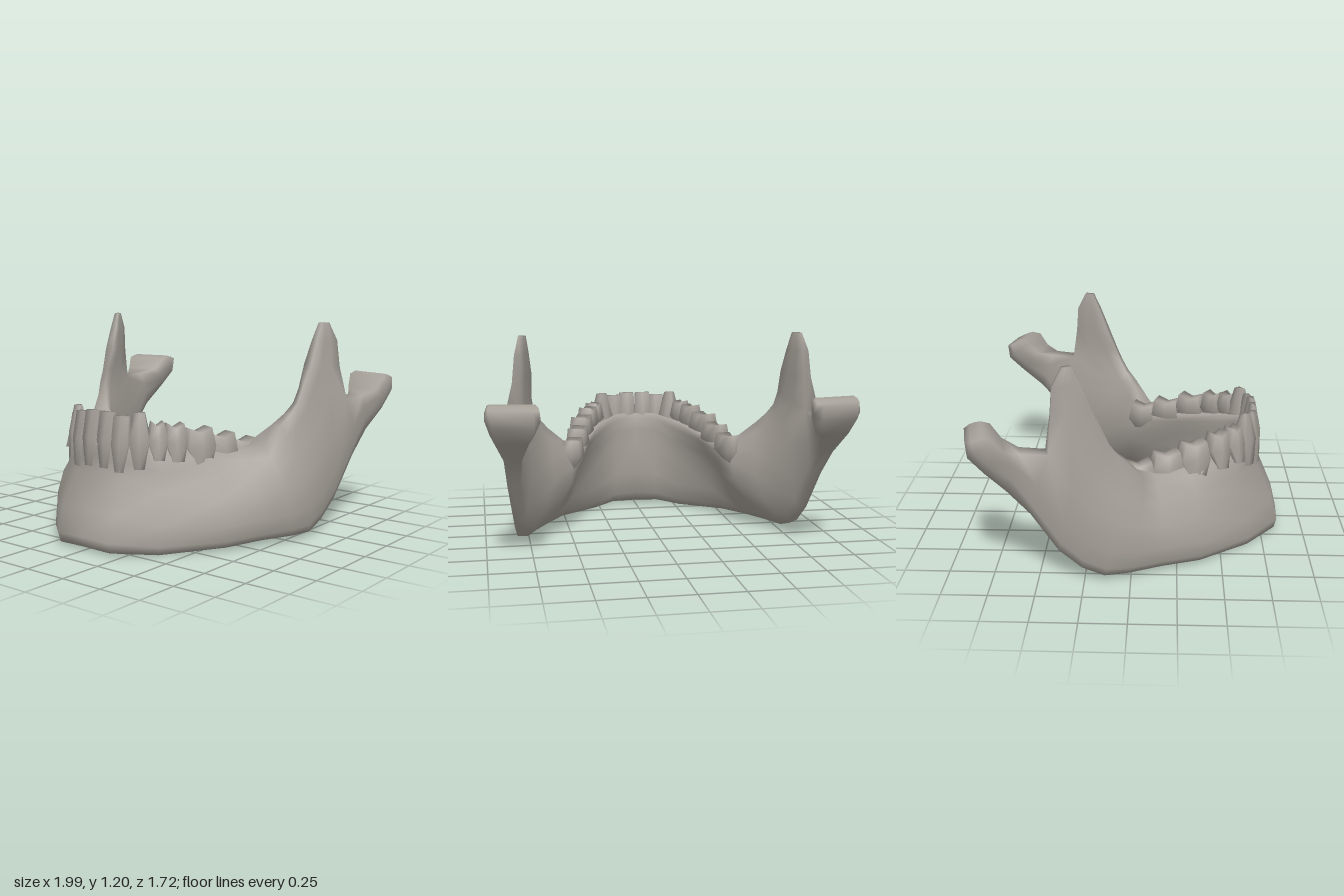
import * as THREE from 'three';
import { mergeVertices } from 'three/addons/utils/BufferGeometryUtils.js';

const rad = THREE.MathUtils.degToRad;
const ROWS = [0, 0.07, 0.24, 0.5, 0.72, 0.9, 1];
const FAT = [0.7, 1, 1.2, 1, 1, 0.95, 0.65];

// Body ribs from chin to ramus: bottom, middle, top, three thicknesses, outward angle
const RIBS = [
  [[0, 0.02, 0.75], [0, 0.42, 0.675], [0, 0.61, 0.685], [0.25, 0.12, 0.11], 0],
  [[0.165, 0.015, 0.75], [0.15, 0.4, 0.665], [0.13, 0.61, 0.67], [0.24, 0.12, 0.11], 12],
  [[0.33, 0, 0.615], [0.31, 0.32, 0.55], [0.275, 0.57, 0.55], [0.18, 0.14, 0.12], 45],
  [[0.565, 0.02, 0.35], [0.52, 0.28, 0.33], [0.39, 0.53, 0.29], [0.16, 0.2, 0.14], 60],
  [[0.66, 0.03, 0.15], [0.58, 0.28, 0.13], [0.46, 0.5, 0.1], [0.14, 0.26, 0.16], 68],
  [[0.75, 0.03, -0.03], [0.64, 0.3, 0], [0.57, 0.53, 0.04], [0.12, 0.3, 0.22], 72],
  [[0.79, 0.03, -0.15], [0.715, 0.34, -0.1], [0.66, 0.64, -0.03], [0.09, 0.24, 0.11], 74],
  [[0.8, 0.08, -0.27], [0.765, 0.42, -0.22], [0.7, 0.7, -0.08], [0.08, 0.18, 0.08], 74],
  [[0.815, 0.19, -0.39], [0.805, 0.55, -0.32], [0.73, 0.76, -0.115], [0.08, 0.14, 0.06], 74],
  [[0.845, 0.42, -0.53], [0.845, 0.76, -0.43], [0.74, 0.84, -0.15], [0.09, 0.09, 0.05], 74],
];
// Front prong above the notch: back edge, front edge, thickness
const CORONOID = [
  [[0.82, 0.95, -0.41], [0.75, 0.97, -0.205], 0.06],
  [[0.81, 1.1, -0.4], [0.76, 1.1, -0.255], 0.045],
  [[0.79, 1.2, -0.35], [0.77, 1.2, -0.3], 0.03],
];
// Rear neck and joint head: lower edge, upper edge, thickness
const CONDYLE = [
  [[0.855, 0.56, -0.65], [0.855, 0.77, -0.57], 0.11],
  [[0.86, 0.68, -0.76], [0.855, 0.8, -0.655], 0.23],
  [[0.857, 0.77, -0.84], [0.857, 0.87, -0.71], 0.285],
  [[0.85, 0.85, -0.85], [0.855, 0.885, -0.76], 0.26],
];
// Teeth: x, z, outward angle, width, depth, top height, tip narrowing
const TEETH = [
  [0.053, 0.687, 3, 0.1, 0.1, 0.745, 0.92],
  [0.142, 0.675, 14, 0.1, 0.1, 0.73, 0.9],
  [0.225, 0.63, 36, 0.11, 0.11, 0.75, 0.5],
  [0.287, 0.56, 50, 0.105, 0.11, 0.7, 0.6],
  [0.335, 0.47, 57, 0.12, 0.115, 0.685, 0.7],
  [0.39, 0.335, 66, 0.17, 0.13, 0.65, 0.75],
  [0.43, 0.185, 72, 0.17, 0.13, 0.605, 0.8],
  [0.475, 0.035, 74, 0.16, 0.13, 0.56, 0.8],
];

const vec = (a) => new THREE.Vector3(...a);

// Splits a line of centres into an outer and an inner row of points
function makeRib(centres, widths, angle) {
  const n = new THREE.Vector3(Math.sin(rad(angle)), 0, Math.cos(rad(angle)));
  return centres.map((c, i) => [1, -1].map((s) => c.clone().addScaledVector(n, (s * widths[i]) / 2)));
}

function bodyRib([b, m, t, w, angle]) {
  const curve = new THREE.CatmullRomCurve3([vec(b), vec(m), vec(t)]);
  const widths = ROWS.map((u, i) => {
    const k = u < 0.5 ? THREE.MathUtils.lerp(w[0], w[1], u * 2) : THREE.MathUtils.lerp(w[1], w[2], u * 2 - 1);
    return k * FAT[i];
  });
  return makeRib(ROWS.map((u) => curve.getPoint(u)), widths, angle);
}

function edgeRib([from, to, w]) {
  const us = [0, 0.33, 0.67, 1];
  return makeRib(us.map((u) => vec(from).lerp(vec(to), u)), [0.75, 1, 1, 0.9].map((k) => k * w), 78);
}

// Skins a run of ribs; the last one can be capped
function skin(out, ribs, cap) {
  const loops = ribs.map((r) => [...r.map((p) => p[0]), ...r.map((p) => p[1]).reverse()]);
  const n = loops[0].length;
  const quad = (a, b, c, d) => out.push(a, b, c, a, c, d);
  for (let i = 0; i < loops.length - 1; i++) {
    for (let j = 0; j < n; j++) {
      const k = (j + 1) % n;
      quad(loops[i][j], loops[i + 1][j], loops[i + 1][k], loops[i][k]);
    }
  }
  if (cap) {
    const r = ribs[ribs.length - 1];
    for (let j = 0; j < r.length - 1; j++) quad(r[j][0], r[j][1], r[j + 1][1], r[j + 1][0]);
  }
}

function jawGeometry() {
  const half = [];
  const body = RIBS.map(bodyRib);
  const last = body[body.length - 1];
  skin(half, body, false);
  // The last rib forks at its middle row into the joint head and the front prong
  skin(half, [last.slice(0, 4), ...CONDYLE.map(edgeRib)], true);
  skin(half, [last.slice(3), ...CORONOID.map(edgeRib)], true);
  // Mirrored half with reversed winding
  const mirrored = half.map((p) => new THREE.Vector3(-p.x, p.y, p.z)).reverse();
  const geo = mergeVertices(new THREE.BufferGeometry().setFromPoints([...half, ...mirrored]), 1e-4);
  geo.computeVertexNormals();
  return geo;
}

// Smooth crown with a tapered root sunk into the bone
function toothGeometry(width, depth, tip, isMolar) {
  const h = isMolar ? 0.2 : 0.3;
  const box = new THREE.BoxGeometry(width, h, depth, 2, 2, 2);
  box.deleteAttribute('normal');
  box.deleteAttribute('uv');
  const geo = mergeVertices(box);
  const p = geo.attributes.position;
  for (let i = 0; i < p.count; i++) {
    const [x, y, z] = [p.getX(i), p.getY(i), p.getZ(i)];
    if (y > 0.01) {
      // Biting edge, dished between the cusps of a molar
      const dip = isMolar && Math.abs(x) < 0.001 ? 0.025 : 0;
      p.setXYZ(i, x * tip, y - dip, z * (isMolar ? 0.7 : 0.35));
    } else if (y < -0.01) {
      // Root, leaning outward under a molar
      p.setXYZ(i, x * 0.5, y, isMolar ? z * 0.6 + 0.045 : z);
    } else if (Math.abs(x) > 0.001) {
      p.setZ(i, z * 0.85);
    }
  }
  geo.translate(0, -h / 2, 0);
  geo.computeVertexNormals();
  return geo;
}

export function createModel() {
  const model = new THREE.Group();
  model.name = 'lowerJaw';
  const material = new THREE.MeshStandardMaterial({ color: 0xa6a199 });

  const jaw = new THREE.Mesh(jawGeometry(), material);
  jaw.name = 'jawBone';
  model.add(jaw);

  const teeth = new THREE.Group();
  teeth.name = 'teeth';
  TEETH.forEach(([x, z, angle, width, depth, top, tip], i) => {
    const geo = toothGeometry(width, depth, tip, i > 2);
    for (const side of [1, -1]) {
      const tooth = new THREE.Mesh(geo, material);
      tooth.name = (side > 0 ? 'left' : 'right') + (i < 2 ? 'Incisor' : i === 2 ? 'Canine' : i < 5 ? 'Premolar' : 'Molar');
      tooth.position.set(side * x, top, z);
      tooth.rotation.y = side * rad(angle);
      teeth.add(tooth);
    }
  });
  model.add(teeth);
  return model;
}
